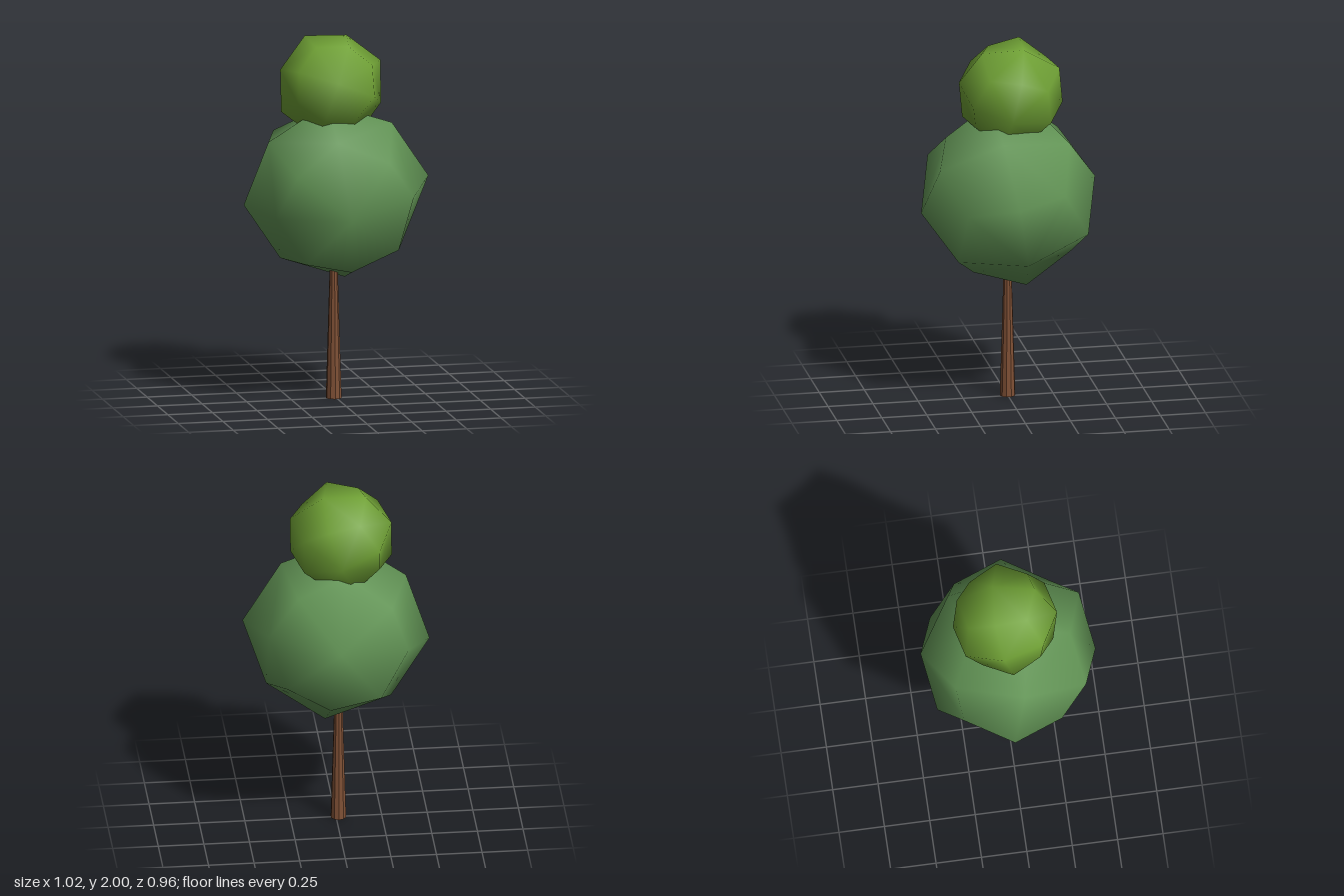
import * as THREE from 'three';
import { mergeVertices } from 'three/addons/utils/BufferGeometryUtils.js';

const material = (name, color) => Object.assign(new THREE.MeshStandardMaterial({ color }), { name });

// Smooth 26-point ball: a 2x2x2 cube whose face centres, edge midpoints and
// corners are each pushed out to their own radius, then turned to three axes.
function ballGeometry(scale, axes) {
  const radii = [0, 0.487, 0.515, 0.47];
  const geometry = new THREE.BoxGeometry(2, 2, 2, 2, 2, 2);
  geometry.deleteAttribute('uv');
  geometry.deleteAttribute('normal');
  geometry.clearGroups();
  const pos = geometry.attributes.position;
  const turn = new THREE.Matrix4().makeBasis(...axes.map((a) => new THREE.Vector3(...a).normalize()));
  const kind = [];
  const v = new THREE.Vector3();
  for (let i = 0; i < pos.count; i++) {
    v.fromBufferAttribute(pos, i).round();
    kind[i] = Math.abs(v.x) + Math.abs(v.y) + Math.abs(v.z);
    v.setLength(radii[kind[i]] * scale).applyMatrix4(turn);
    pos.setXYZ(i, v.x, v.y, v.z);
  }
  // Split every quad along the diagonal from face centre to corner
  const old = geometry.index.array;
  const index = [];
  for (let i = 0; i < old.length; i += 6) {
    const a = old[i], b = old[i + 1], d = old[i + 2], c = old[i + 4];
    if (kind[b] === 2) index.push(a, b, c, a, c, d);
    else index.push(a, b, d, b, c, d);
  }
  geometry.setIndex(index);
  const welded = mergeVertices(geometry, 1e-4);
  welded.computeVertexNormals();
  return welded;
}

export function createModel() {
  const group = new THREE.Group();
  const bark = material('bark brown', 0x7f5035);
  bark.flatShading = true;
  const darkLeaf = material('leaf green', 0x629455);
  const brightLeaf = material('bright leaf green', 0x6fa035);

  const add = (name, geometry, mat, x, y, z) => {
    const mesh = new THREE.Mesh(geometry, mat);
    mesh.name = name;
    mesh.position.set(x, y, z);
    group.add(mesh);
  };

  // Tapered trunk, running up into the foliage
  add('trunk', new THREE.CylinderGeometry(0.02, 0.043, 0.8, 10), bark, -0.013, 0.4, 0);

  // Large lower foliage and small upper foliage
  add('lowerFoliage', ballGeometry(1, [
    [0.604, 0.778, 0.164], [0.796, -0.6, -0.082], [0.041, 0.175, -0.986],
  ]), darkLeaf, 0, 1.155, 0);
  add('upperFoliage', ballGeometry(0.6, [
    [0.935, -0.324, 0.14], [0.346, 0.919, -0.185], [-0.068, 0.222, 0.973],
  ]), brightLeaf, -0.025, 1.733, -0.02);

  return group;
}
